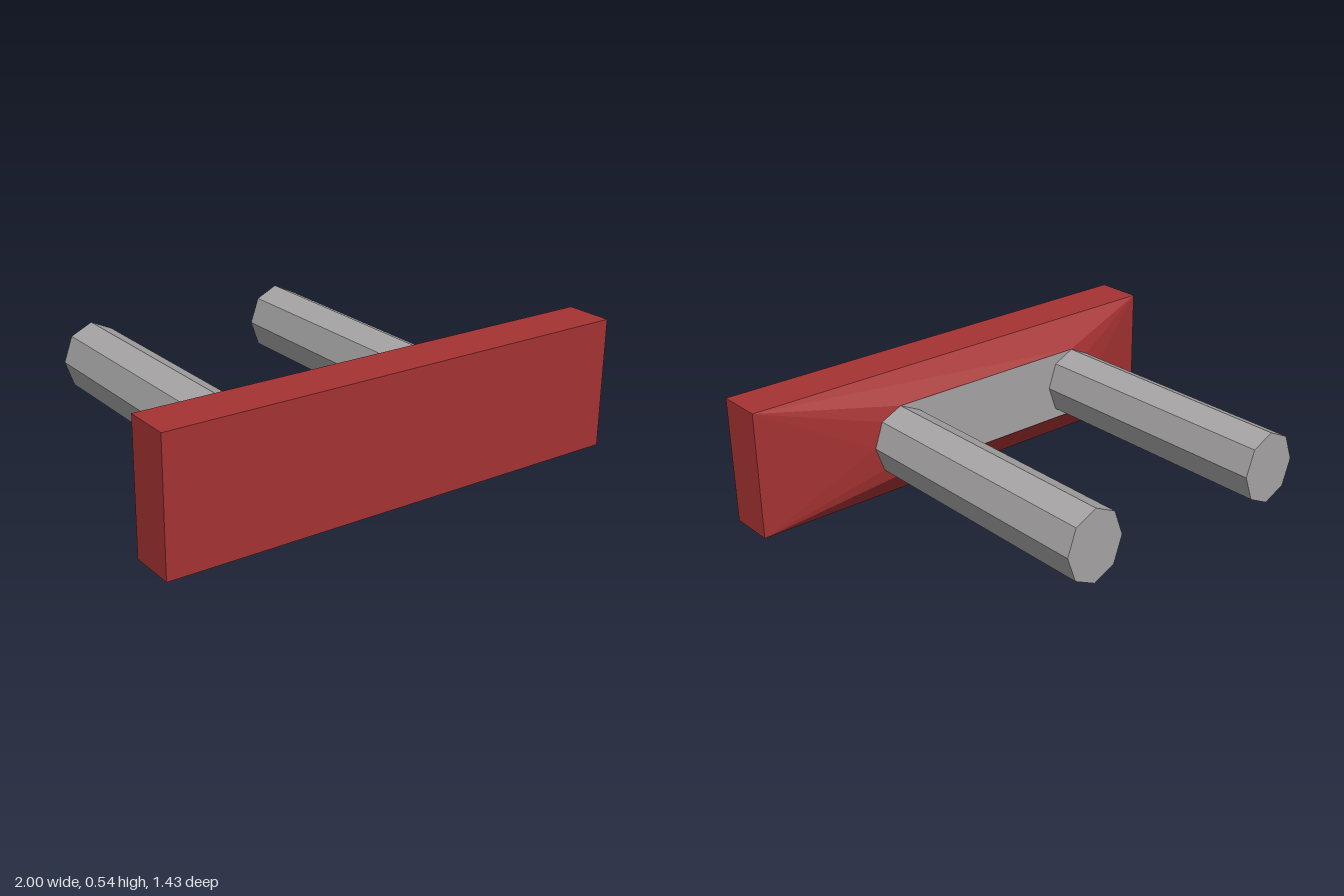
import * as THREE from 'three';
import { ConvexGeometry } from 'three/addons/geometries/ConvexGeometry.js';

const HEIGHT = 0.535, FRONT = 0.715, SHOULDER = 0.518, NECK = 0.427, BACK = -0.715;
const ROD = { y: 0.269, rx: 0.13, ry: 0.151, xs: [-0.53, 0.39] };

export function createModel() {
  const red = new THREE.MeshStandardMaterial({ name: 'brick red', color: 0xa53232, flatShading: true });
  const gray = new THREE.MeshStandardMaterial({ name: 'steel gray', color: 0xa6a4a4, flatShading: true });
  const model = new THREE.Group();
  model.name = 'twoRodPlate';

  const add = (name, geometry, material, x = 0, y = 0, z = 0) => {
    const mesh = new THREE.Mesh(geometry, material);
    mesh.name = name;
    mesh.position.set(x, y, z);
    model.add(mesh);
    return mesh;
  };

  // Front slab
  add('frontPlate', new THREE.BoxGeometry(2, HEIGHT, FRONT - SHOULDER), red,
    0, HEIGHT / 2, (FRONT + SHOULDER) / 2);

  // Outline around both rods: half an octagon at each end, counter-clockwise
  const outline = [];
  for (const [cx, start] of [[ROD.xs[1], -2], [ROD.xs[0], 2]]) {
    for (let i = 0; i <= 4; i++) {
      const a = (start + i) * Math.PI / 4;
      outline.push(new THREE.Vector2(cx + ROD.rx * Math.cos(a), ROD.y + ROD.ry * Math.sin(a)));
    }
  }

  // Sloping collar from the slab's rectangle to the rod outline
  const corners = [[-1, 0], [1, 0], [1, HEIGHT], [-1, HEIGHT]]
    .map(([x, y]) => new THREE.Vector3(x, y, SHOULDER));
  const rim = outline.map(p => new THREE.Vector3(p.x, p.y, NECK));
  add('taperedCollar', new ConvexGeometry([...corners, ...rim]), red);

  // Gray face on the back of the collar, turned to face -z
  const face = new THREE.ShapeGeometry(new THREE.Shape(outline.map(p => new THREE.Vector2(-p.x, p.y)).reverse()));
  add('collarBackFace', face, gray, 0, 0, NECK - 0.002).rotation.y = Math.PI;

  // Two octagonal rods, slightly taller than wide
  const length = NECK - BACK;
  const rod = new THREE.CylinderGeometry(1, 1, length, 8).rotateX(Math.PI / 2).scale(ROD.rx, ROD.ry, 1);
  ROD.xs.forEach((x, i) =>
    add(i ? 'leftRod' : 'rightRod', rod, gray, x, ROD.y, (NECK + BACK) / 2));

  return model;
}
